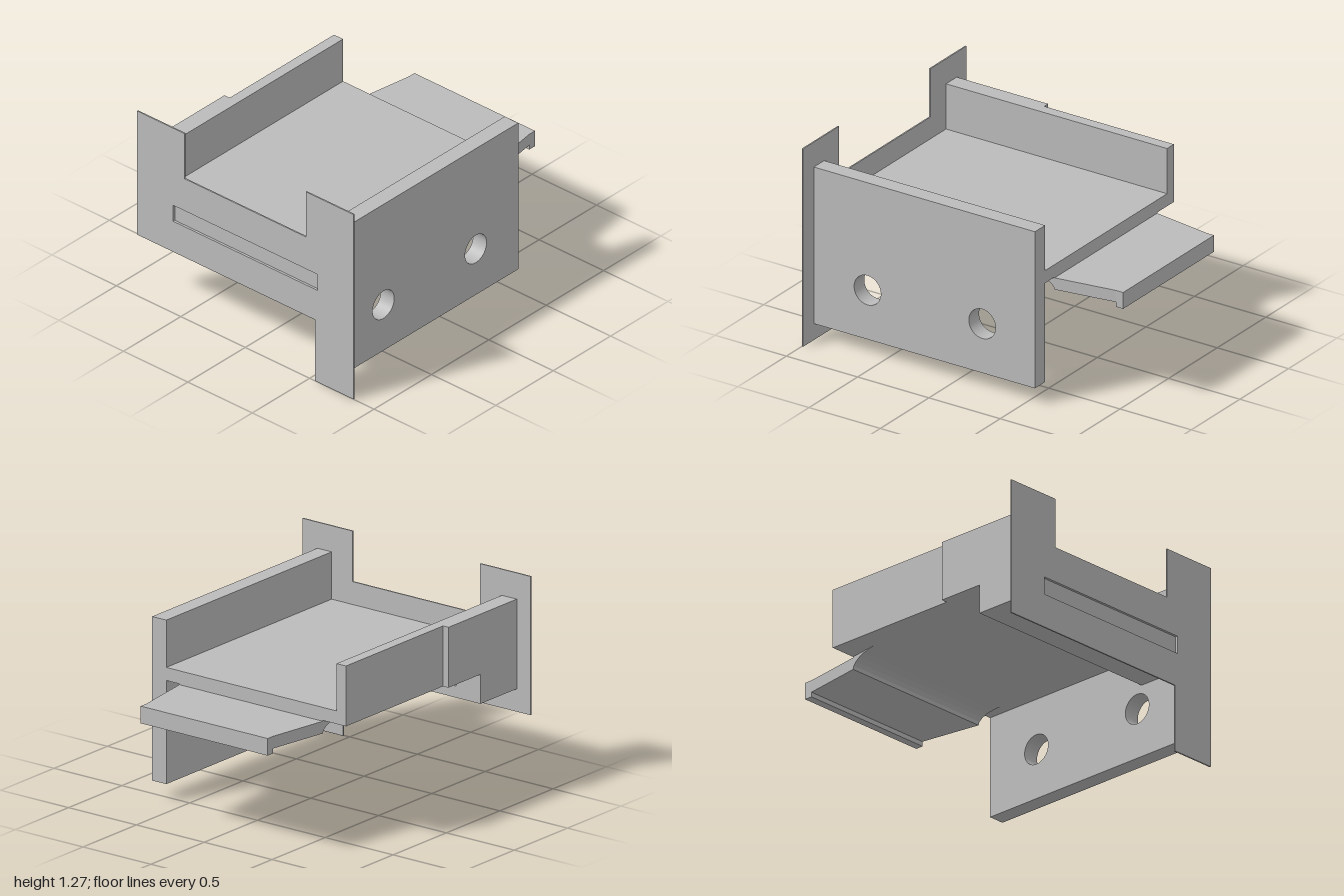
import * as THREE from 'three';

export function createModel() {
  const model = new THREE.Group();
  const grey = new THREE.MeshStandardMaterial({ color: 0xbbbbbb });

  const add = (name, geometry) => {
    const mesh = new THREE.Mesh(geometry, grey);
    mesh.name = name;
    model.add(mesh);
    return mesh;
  };

  // Box given by its limits on each axis
  const box = (name, x0, x1, y0, y1, z0, z1) =>
    add(name, new THREE.BoxGeometry(x1 - x0, y1 - y0, z1 - z0)
      .translate((x0 + x1) / 2, (y0 + y1) / 2, (z0 + z1) / 2));

  const outline = (points) => new THREE.Shape(points.map(([x, y]) => new THREE.Vector2(x, y)));
  const back = -0.56, plateBack = 0.991;

  // Thin front plate with a raised shoulder each side, one long leg and a slot
  const plate = outline([
    [-0.84, 0.42], [0.54, 0.42], [0.54, 0], [0.84, 0], [0.84, 1.27],
    [0.47, 1.27], [0.47, 0.96], [-0.47, 0.96], [-0.47, 1.27], [-0.84, 1.27],
  ]);
  plate.holes.push(outline([[-0.56, 0.63], [-0.56, 0.74], [0.56, 0.74], [0.56, 0.63]]));
  add('frontPlate', new THREE.ExtrudeGeometry(plate, { depth: 1 - plateBack, bevelEnabled: false })
    .translate(0, 0, plateBack));

  // Tall side wall with two round holes, drawn in (-z, y) and turned to face x
  const wall = outline([[-plateBack, 0.105], [-back, 0.105], [-back, 1.11], [-plateBack, 1.11]]);
  for (const z of [0.615, -0.19]) {
    wall.holes.push(new THREE.Path().absarc(-z, 0.42, 0.094, 0, Math.PI * 2, true));
  }
  add('tallSideWall', new THREE.ExtrudeGeometry(wall, { depth: 0.105, bevelEnabled: false, curveSegments: 32 })
    .rotateY(Math.PI / 2).translate(0.625, 0, 0));

  // Tray floor and the short side wall with its thicker front half
  box('trayFloor', -0.63, 0.625, 0.74, 0.82, back, plateBack);
  box('shortSideWall', -0.7, -0.63, 0.74, 1.11, back, plateBack);
  box('shortWallPad', -0.74, -0.7, 0.74, 1.11, 0.35, plateBack);

  // Socket under the tray behind the slot, open at the back
  box('socketFloor', -0.74, 0.625, 0.56, 0.63, 0.65, plateBack);
  box('socketLeftEnd', 0.56, 0.625, 0.63, 0.74, 0.65, plateBack);
  box('socketRightEnd', -0.74, -0.56, 0.63, 0.74, 0.65, plateBack);
  box('socketFront', -0.56, 0.56, 0.63, 0.74, 0.96, 0.985);

  // Tapering rear tongue with a lip at its tip and a curved root under the tray
  const profile = [[1, 0.63], [1, 0.735], [0.95, 0.735], [0.56, 0.735], [0.56, 0.74], [0.36, 0.74]];
  for (let i = 1; i <= 6; i++) {
    const a = (i / 6) * Math.PI / 2;
    profile.push([0.36 + 0.2 * Math.sin(a), 0.66 + 0.08 * Math.cos(a)]);
  }
  profile.push([0.95, 0.66], [0.95, 0.63]);
  const tongue = new THREE.ExtrudeGeometry(outline(profile), { depth: 1, bevelEnabled: false })
    .translate(0, 0, -0.5).rotateY(Math.PI / 2);
  const pos = tongue.attributes.position;
  for (let i = 0; i < pos.count; i++) {
    const halfWidth = 0.468 + 0.155 * Math.max(0, pos.getZ(i) + 0.95);
    pos.setX(i, Math.sign(pos.getX(i)) * halfWidth);
  }
  tongue.computeVertexNormals();
  add('rearTongue', tongue);

  return model;
}
